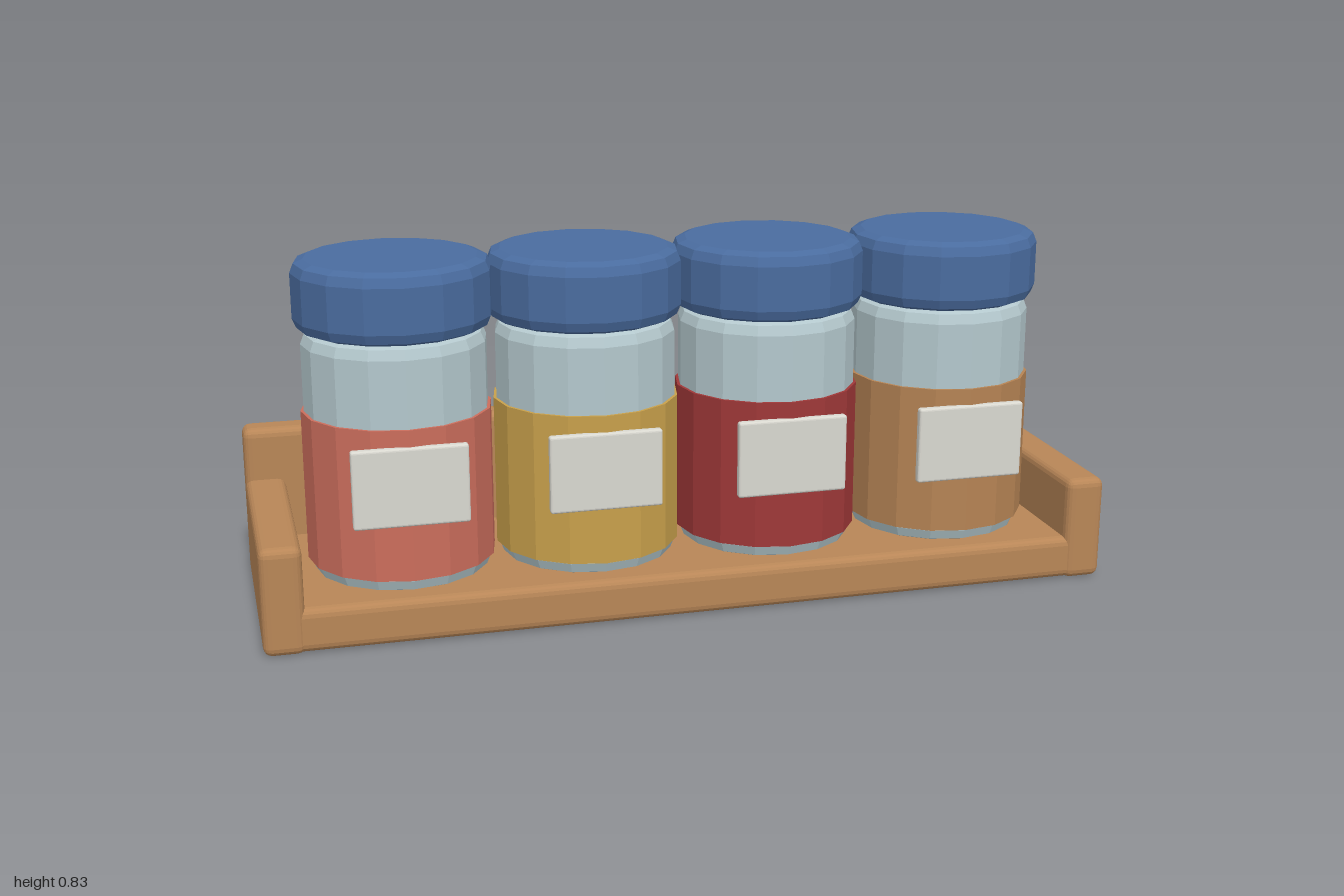
import * as THREE from 'three';
import { RoundedBoxGeometry } from 'three/addons/geometries/RoundedBoxGeometry.js';

const SIDES = 16;
const material = (color) => new THREE.MeshStandardMaterial({ color, flatShading: true });
const wood = material(0xb88657);
const glass = material(0xb4c8cd);
const lidBlue = material(0x4a6c9f);
const paper = material(0xd9d8d0);

// Box with softened edges, given by its min and max corners
function block(name, min, max, radius, mat) {
  const size = max.map((v, i) => v - min[i]);
  const mesh = new THREE.Mesh(new RoundedBoxGeometry(...size, 2, radius), mat);
  mesh.position.set(...max.map((v, i) => (v + min[i]) / 2));
  mesh.name = name;
  return mesh;
}

// Faceted solid of revolution; profile runs from bottom to top
function turned(name, profile, mat) {
  const points = profile.map(([r, y]) => new THREE.Vector2(r, y));
  const mesh = new THREE.Mesh(new THREE.LatheGeometry(points, SIDES), mat);
  mesh.name = name;
  return mesh;
}

// Closed cylinder profile with rounded rims
function drum(r, y0, y1, bevel) {
  const b = bevel, k = bevel * 0.29;
  return [
    [0, y0], [r - b, y0], [r - k, y0 + k], [r, y0 + b],
    [r, y1 - b], [r - k, y1 - k], [r - b, y1], [0, y1],
  ];
}

function createJar(color) {
  const jar = new THREE.Group();
  jar.add(
    turned('glassBody', drum(0.21, 0.1, 0.672, 0.032), glass),
    turned('contents', [[0, 0.135], [0.217, 0.135], [0.217, 0.485], [0, 0.485]], material(color)),
    turned('lid', drum(0.225, 0.67, 0.833, 0.03), lidBlue),
    block('label', [-0.13, 0.266, 0.203], [0.13, 0.447, 0.225], 0.006, paper),
  );
  return jar;
}

export function createModel() {
  const model = new THREE.Group();
  model.name = 'jarRack';

  // Tray: floor, back rail and two end panels
  const tray = new THREE.Group();
  tray.name = 'tray';
  tray.add(
    block('trayFloor', [-0.998, 0.002, -0.288], [0.998, 0.104, 0.288], 0.02, wood),
    block('backRail', [-1, 0, -0.292], [1, 0.375, -0.212], 0.02, wood),
  );
  for (const side of [-1, 1]) {
    const x = side * 0.953;
    const name = side > 0 ? 'leftEndPanel' : 'rightEndPanel';
    tray.add(block(name, [x - 0.047, 0, -0.292], [x + 0.047, 0.25, 0.292], 0.02, wood));
  }
  model.add(tray);

  // Row of four jars
  [0xcb6d5c, 0xc8a04b, 0x9f3838, 0xb58354].forEach((color, i) => {
    const jar = createJar(color);
    jar.name = `jar${i + 1}`;
    jar.position.set(-0.66 + i * 0.44, 0, 0.035);
    model.add(jar);
  });
  return model;
}
